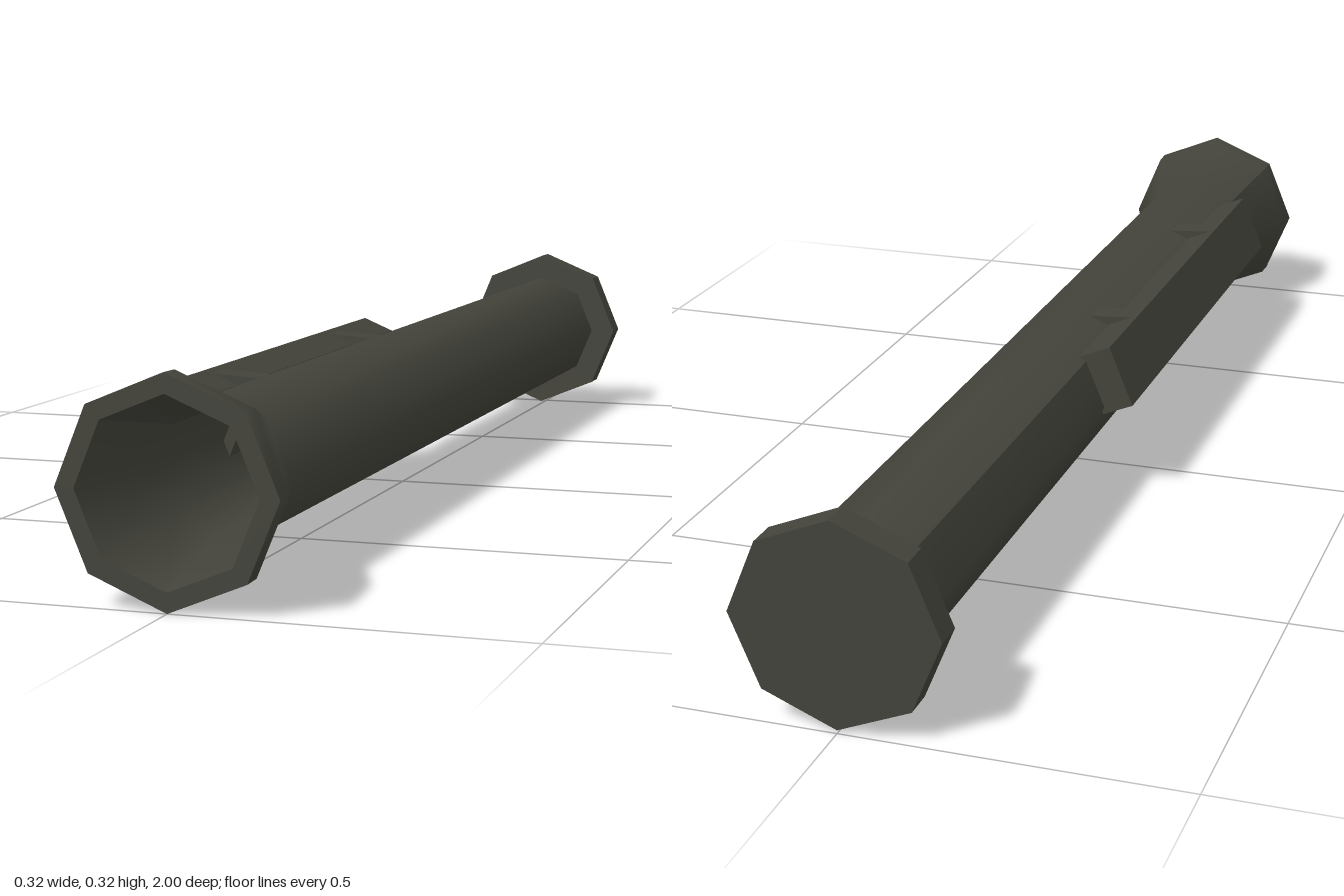
import * as THREE from 'three';

const SEAM = Math.PI * 1.25; // hard edge of the tube, on its upper left
const SIDES = 8;

export function createModel() {
  const model = new THREE.Group();
  model.name = 'launchTube';
  const olive = new THREE.MeshStandardMaterial({ color: 0x43433b });
  olive.name = 'darkOlive';

  // Everything is arranged around a long axis that runs along z
  const axis = new THREE.Group();
  axis.name = 'tubeAssembly';
  axis.position.y = 0.158;
  model.add(axis);

  const add = (name, geometry, parent = axis) => {
    const mesh = new THREE.Mesh(geometry, olive);
    mesh.name = name;
    parent.add(mesh);
    return mesh;
  };

  // Eight-sided turned surface; points are [radius, z]
  const turned = (points, flat = false) => {
    const profile = points.map(([r, z]) => new THREE.Vector2(r, z));
    let g = new THREE.LatheGeometry(profile, SIDES, SEAM);
    g.rotateX(Math.PI / 2);
    if (flat) g = g.toNonIndexed();
    g.computeVertexNormals();
    return g;
  };

  // Outer skin with the flared muzzle
  add('tube', turned([[0.107, -0.96], [0.107, 0.83], [0.157, 0.965], [0.158, 1]]));
  add('muzzleLip', turned([[0.158, 1], [0.13, 1]], true));

  // Hollow inside and its closed end
  add('bore', turned([[0.13, 1], [0.088, 0.83], [0.088, -0.95]]));
  add('boreEnd', turned([[0.088, -0.95], [0, -0.95]], true));

  // Rear cap
  add('rearCap', turned(
    [[0, -1], [0.153, -1], [0.153, -0.953], [0, -0.953]], true));

  // Side rail and its clamps, square to the upper left facet of the tube:
  // local x points outward, local y runs across the facet
  const mount = new THREE.Group();
  mount.name = 'sideMount';
  mount.rotation.z = Math.PI * 7 / 8;
  axis.add(mount);

  const prism = (inner, innerHalf, outer, outerHalf, z0, z1) => {
    const shape = new THREE.Shape([
      new THREE.Vector2(inner, -innerHalf), new THREE.Vector2(outer, -outerHalf),
      new THREE.Vector2(outer, outerHalf), new THREE.Vector2(inner, innerHalf),
    ]);
    const g = new THREE.ExtrudeGeometry(shape, { depth: z1 - z0, bevelEnabled: false });
    return g.translate(0, 0, z0);
  };

  add('sideRail', prism(0.092, 0.052, 0.146, 0.052, -0.14, 0.765), mount);
  for (const z of [0.025, 0.54]) {
    add('railClamp', prism(0.064, 0.076, 0.14, 0.05, z, z + 0.047), mount);
  }

  return model;
}
